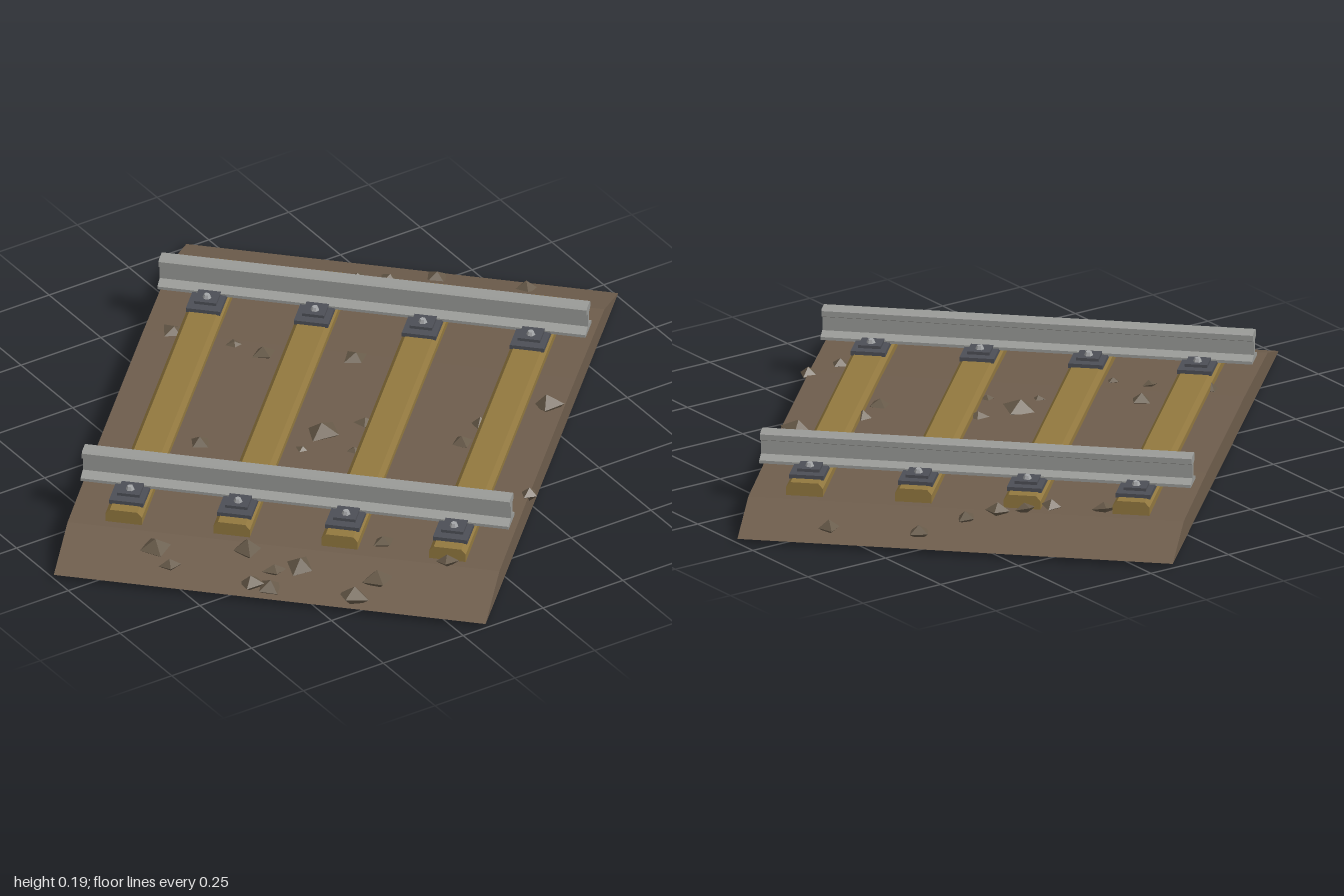
import * as THREE from 'three';

const mat = (name, color) => {
  const m = new THREE.MeshStandardMaterial({ color, flatShading: true });
  m.name = name;
  return m;
};

// Prism from a cross-section, centred along z
function prism(points, length) {
  const shape = new THREE.Shape(points.map(([x, y]) => new THREE.Vector2(x, y)));
  const g = new THREE.ExtrudeGeometry(shape, { depth: length, bevelEnabled: false });
  return g.translate(0, 0, -length / 2);
}

// Symmetric cross-section from its right half, listed bottom to top
const mirrored = (half) => [...half, ...half.slice().reverse().map(([x, y]) => [-x, y])];

function add(parent, name, geometry, material, x = 0, y = 0, z = 0) {
  const mesh = new THREE.Mesh(geometry, material);
  mesh.name = name;
  mesh.position.set(x, y, z);
  parent.add(mesh);
  return mesh;
}

function seeded(seed) {
  return () => {
    seed = (seed * 16807) % 2147483647;
    return seed / 2147483647;
  };
}

export function createModel() {
  const earth = mat('earth', 0x6e5d4c);
  const wood = mat('wood', 0x92783f);
  const steel = mat('steel', 0x999a97);
  const iron = mat('dark iron', 0x4d4f56);
  const boltSteel = mat('bolt steel', 0xa4a6a8);
  const stone = mat('stone', 0x675a49);

  const model = new THREE.Group();
  model.name = 'railwayTrack';

  // The track runs diagonally: sleepers along local x, rails along local z
  const track = new THREE.Group();
  track.name = 'track';
  track.rotation.y = Math.PI / 4;
  model.add(track);

  // Ballast bed with sloping shoulders and a slight crown
  add(track, 'bed', prism(mirrored([[0.834, 0], [0.66, 0.057], [0.3, 0.064]]), 1.16), earth);

  // Sleepers with chamfered top edges
  const sleeperGeo = prism(mirrored([[0.049, 0.04], [0.049, 0.08], [0.037, 0.094]]), 1.27);
  sleeperGeo.rotateY(Math.PI / 2);
  const rows = [-0.435, -0.145, 0.145, 0.435];
  rows.forEach((z) => add(track, 'sleeper', sleeperGeo, wood, 0, 0, z));

  // Rails: foot, web and head in one section
  const railGeo = prism(mirrored([
    [0.038, 0.1], [0.038, 0.108], [0.009, 0.117], [0.009, 0.154],
    [0.023, 0.16], [0.023, 0.175], [0.018, 0.18],
  ]), 1.15);

  // Fastenings: base plate, clips over the rail foot and bolts
  const plateGeo = new THREE.BoxGeometry(0.24, 0.012, 0.092);
  const clipGeo = new THREE.BoxGeometry(0.06, 0.008, 0.06);
  const boltGeo = new THREE.CylinderGeometry(0.008, 0.012, 0.01, 6);
  for (const side of [-1, 1]) {
    const x = side * 0.483;
    add(track, 'rail', railGeo, steel, x);
    for (const z of rows) {
      const fastening = new THREE.Group();
      fastening.name = 'fastening';
      fastening.position.set(x, 0, z);
      track.add(fastening);
      add(fastening, 'basePlate', plateGeo, iron, 0, 0.098, 0);
      for (const s of [-1, 1]) {
        add(fastening, 'clip', clipGeo, iron, s * 0.064, 0.108, 0);
        add(fastening, 'bolt', boltGeo, boltSteel, s * 0.069, 0.117, 0);
      }
    }
  }

  // Loose stones: x, z, radius
  const stones = [
    [-0.14, -0.57, 0.036], [0.28, -0.59, 0.03], [0.35, -0.57, 0.028], [0.41, -0.53, 0.034],
    [0.49, -0.5, 0.028], [0.62, -0.47, 0.034], [0.79, -0.3, 0.034], [-0.04, -0.43, 0.022],
    [0, -0.35, 0.034], [0.18, -0.69, 0.032], [0.19, -0.2, 0.034], [0.1, -0.28, 0.018],
    [-0.08, 0.06, 0.05], [0.04, 0.08, 0.03], [-0.06, 0.18, 0.02], [-0.38, -0.07, 0.03],
    [-0.52, -0.1, 0.034], [-0.58, -0.1, 0.028], [-0.47, 0.02, 0.022], [-0.41, 0.1, 0.02],
    [-0.17, 0.1, 0.02], [0.2, 0.3, 0.03], [0.29, 0.25, 0.03], [0.49, 0.27, 0.044],
    [-0.74, 0.27, 0.045], [-0.74, 0.34, 0.03], [-0.55, 0.42, 0.042], [-0.6, 0.52, 0.036],
    [-0.57, 0.56, 0.034], [-0.53, 0.52, 0.034], [-0.47, 0.55, 0.042], [-0.41, 0.72, 0.042],
    [-0.33, 0.71, 0.042], [-0.15, 0.77, 0.035], [-0.24, 0.6, 0.03], [0.1, 0.62, 0.024],
    [0.21, 0.61, 0.028], [-0.14, 0.34, 0.024],
  ];
  const random = seeded(71);
  const stoneGeo = new THREE.OctahedronGeometry(1);
  for (const [x, z, r] of stones) {
    const across = Math.abs(x - z) / Math.SQRT2;
    const ground = across < 0.66 ? 0.061 : (0.834 - across) * 0.33;
    const rock = add(model, 'stone', stoneGeo, stone, x, ground + r * 0.1, z);
    rock.scale.set(r, r * (0.5 + 0.25 * random()), r * (0.8 + 0.3 * random()));
    rock.rotation.set(random() * 0.4 - 0.2, random() * Math.PI, random() * 0.4 - 0.2);
  }
  return model;
}
